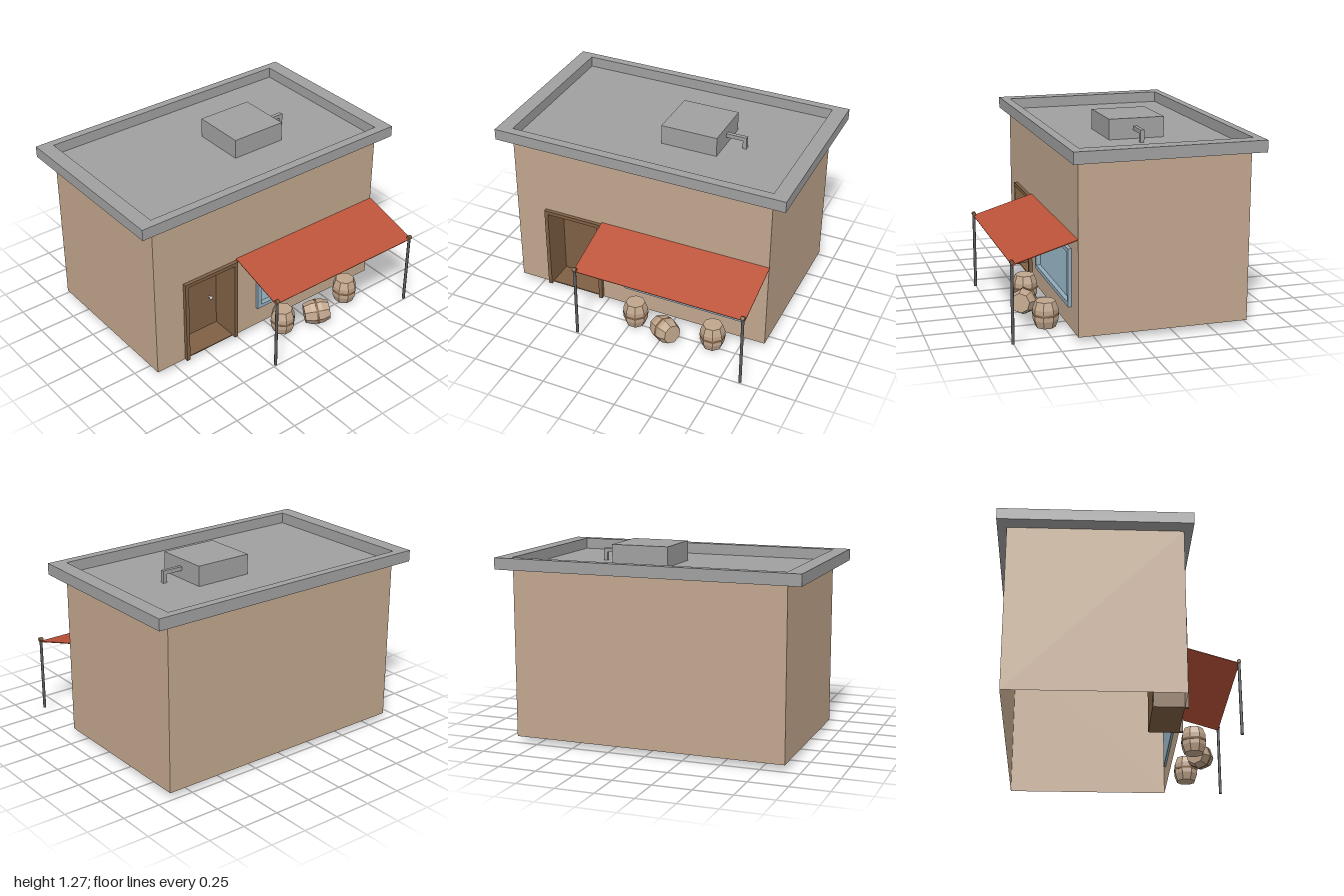
import * as THREE from 'three';

const mat = (name, color, extra = {}) => {
  const m = new THREE.MeshStandardMaterial({ color, ...extra });
  m.name = name;
  return m;
};

export function createModel() {
  const plaster = mat('plaster', 0xc2a78e, { side: THREE.DoubleSide });
  const stone = mat('roof grey', 0xa0a0a0, { side: THREE.DoubleSide });
  const cloth = mat('awning red', 0xbd533a, { side: THREE.DoubleSide });
  const wood = mat('dark wood', 0x7f6044);
  const cask = mat('barrel wood', 0xc0a58c, { flatShading: true });
  const iron = mat('post iron', 0x5c5c60);
  const glass = mat('window glass', 0x9fbfd0);
  const trim = mat('window trim', 0x93adbb);
  const metal = mat('knob metal', 0xb8b4ac);

  const model = new THREE.Group();
  model.name = 'shop';
  const add = (name, geo, material, parent = model) => {
    const m = new THREE.Mesh(geo, material);
    m.name = name;
    parent.add(m);
    return m;
  };
  // Box given by its lower and upper corners
  const box = (name, a, b, material, parent) => {
    const g = new THREE.BoxGeometry(b[0] - a[0], b[1] - a[1], b[2] - a[2]);
    g.translate((a[0] + b[0]) / 2, (a[1] + b[1]) / 2, (a[2] + b[2]) / 2);
    return add(name, g, material, parent);
  };
  const poly = (pts, Type = THREE.Shape) => new Type(pts.map(p => new THREE.Vector2(...p)));
  const rect = (x0, y0, x1, y1, Type) => poly([[x0, y0], [x1, y0], [x1, y1], [x0, y1]], Type);
  // Outline drawn in (-z, y), pushed along x from x0 to x1
  const sideExtrude = (name, shape, x0, x1, material) => {
    const g = new THREE.ExtrudeGeometry(shape, { depth: x1 - x0, bevelEnabled: false });
    g.rotateY(Math.PI / 2).translate(x0, 0, 0);
    return add(name, g, material);
  };

  // Walls: an open-bottomed shell
  const X0 = -0.73, X1 = 0.37, Y0 = 0.035, Y1 = 1.13, Z = 0.9;
  const H = Y1 - Y0, yMid = (Y0 + Y1) / 2, xMid = (X0 + X1) / 2;
  for (const s of [1, -1]) {
    const g = new THREE.PlaneGeometry(X1 - X0, H);
    if (s < 0) g.rotateY(Math.PI);
    add(s > 0 ? 'frontWall' : 'backWall', g.translate(xMid, yMid, s * Z), plaster);
  }
  add('rightWall', new THREE.PlaneGeometry(2 * Z, H).rotateY(-Math.PI / 2).translate(X0, yMid, 0), plaster);

  // Shop side wall with door notch and window opening
  const shopWall = poly([[-Z, Y0], [-0.685, Y0], [-0.685, 0.64], [-0.27, 0.64],
    [-0.27, Y0], [Z, Y0], [Z, Y1], [-Z, Y1]]);
  shopWall.holes.push(rect(-0.07, 0.205, 0.715, 0.525, THREE.Path));
  add('shopWall', new THREE.ShapeGeometry(shopWall).rotateY(Math.PI / 2).translate(X1, 0, 0), plaster);

  // Roof with raised rim
  const rim = rect(-0.79, -1, 0.425, 1);
  rim.holes.push(rect(-0.735, -0.9, 0.365, 0.9, THREE.Path));
  const rimGeo = new THREE.ExtrudeGeometry(rim, { depth: 0.075, bevelEnabled: false });
  add('roofRim', rimGeo.rotateX(-Math.PI / 2).translate(0, 1.13, 0), stone);
  box('roofFloor', [-0.735, 1.125, -0.9], [0.365, 1.133, 0.9], stone);

  // Roof unit and bent pipe
  box('roofUnit', [-0.345, 1.13, -0.385], [0.02, 1.265, 0], stone);
  box('pipeArm', [-0.166, 1.188, -0.525], [-0.14, 1.214, -0.385], stone);
  box('pipeLeg', [-0.166, 1.13, -0.525], [-0.14, 1.188, -0.499], stone);

  // Deep doorway
  const frame = poly([[-0.685, Y0], [-0.66, Y0], [-0.66, 0.615], [-0.295, 0.615],
    [-0.295, Y0], [-0.27, Y0], [-0.27, 0.64], [-0.685, 0.64]]);
  sideExtrude('doorFrame', frame, 0.18, 0.395, wood);
  box('doorPanel', [0.175, Y0, 0.28], [0.19, 0.63, 0.675], wood);
  box('doorStep', [0.18, Y0, 0.29], [0.37, 0.042, 0.665], wood);
  add('doorKnob', new THREE.SphereGeometry(0.013, 10, 8).translate(0.215, 0.285, 0.355), metal);
  add('knobStem', new THREE.CylinderGeometry(0.006, 0.006, 0.03, 8).rotateZ(Math.PI / 2)
    .translate(0.2, 0.285, 0.355), metal);

  // Shop window
  const windowFrame = rect(-0.1, 0.178, 0.745, 0.552);
  windowFrame.holes.push(rect(-0.07, 0.205, 0.715, 0.525, THREE.Path));
  sideExtrude('windowFrame', windowFrame, 0.355, 0.392, trim);
  box('windowPane', [0.355, 0.2, -0.72], [0.362, 0.53, 0.075], glass);

  // Sloping awning on two posts
  const run = 0.405, drop = 0.12;
  const awning = add('awning', new THREE.BoxGeometry(Math.hypot(run, drop), 0.005, 1.172), cloth);
  awning.position.set(X1 + run / 2, 0.59, -0.318);
  awning.rotation.z = -Math.atan2(drop, run);
  for (const z of [0.258, -0.89]) {
    add('awningPost', new THREE.CylinderGeometry(0.01, 0.01, 0.5, 8).translate(0.773, 0.285, z), iron);
    add('postCap', new THREE.CylinderGeometry(0.014, 0.014, 0.026, 8).rotateX(Math.PI / 2)
      .translate(0.773, 0.545, z), wood);
  }

  // Eight-sided barrels, two upright and one tipped over
  const lathe = pts => new THREE.LatheGeometry(
    pts.map(p => new THREE.Vector2(...p)), 8, Math.PI / 8);
  const barrelGeo = lathe([[0, -0.085], [0.064, -0.085], [0.082, -0.036], [0.082, 0.036],
    [0.064, 0.085], [0, 0.085]]);
  const bandGeo = lathe([[0.08, -0.008], [0.085, -0.008], [0.085, 0.008], [0.08, 0.008]]);
  const barrel = (x, y, z, axis) => {
    const g = new THREE.Group();
    g.name = 'barrel';
    add('barrelBody', barrelGeo, cask, g);
    add('barrelBand', bandGeo, wood, g);
    g.position.set(x, y, z);
    g.quaternion.setFromUnitVectors(new THREE.Vector3(0, 1, 0), new THREE.Vector3(...axis).normalize());
    model.add(g);
  };
  barrel(0.495, 0.097, -0.032, [0, 1, 0]);
  barrel(0.495, 0.097, -0.585, [0, 1, 0]);
  barrel(0.56, 0.083, -0.275, [0.5, 0.12, -0.87]);

  return model;
}
